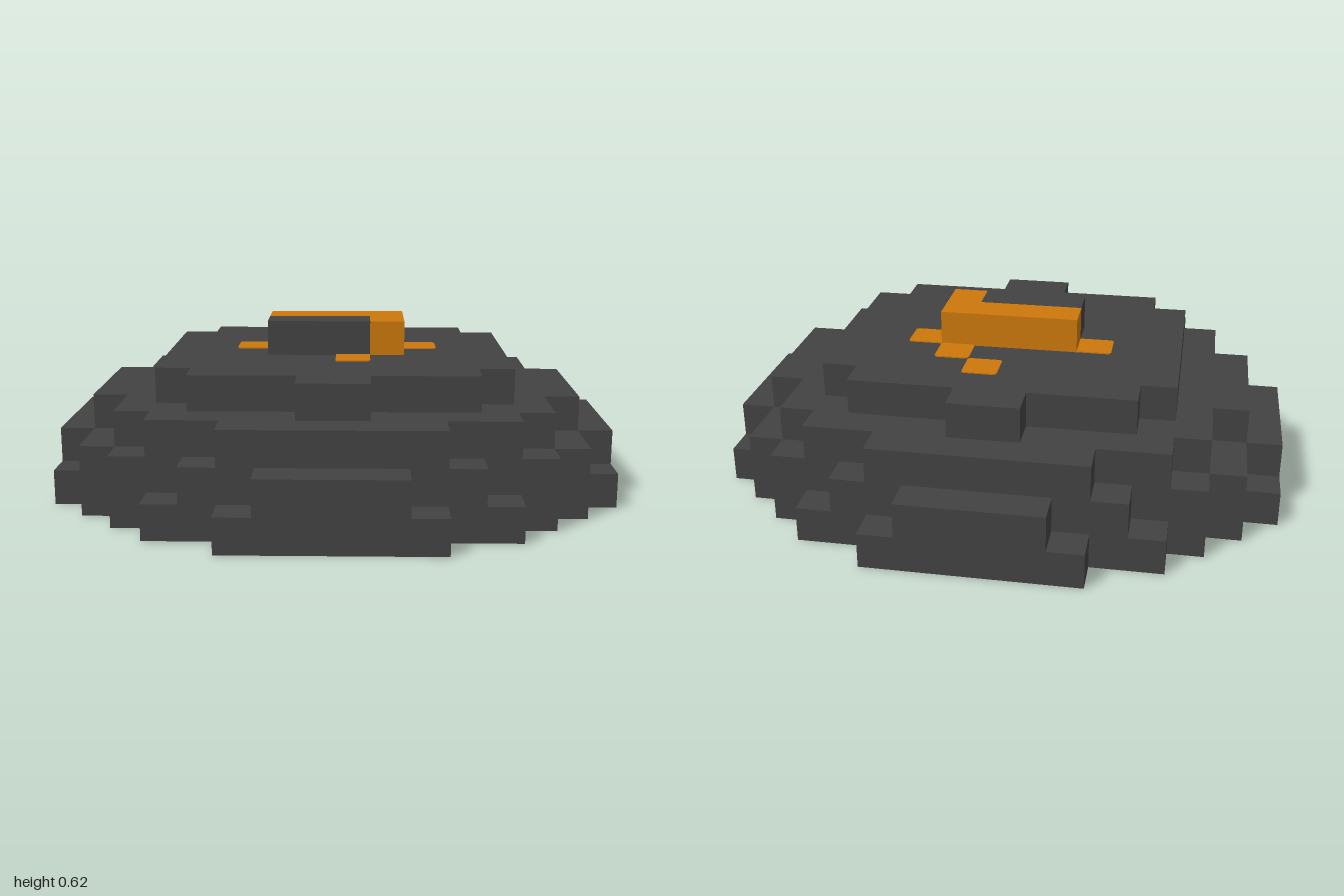
import * as THREE from 'three';

const U = 0.125; // edge of one cube

// Each tier lists [half width, half depth] steps, from the widest to the deepest.
const TIERS = [
  [[8, 3], [7, 4], [6, 5], [5, 6], [3, 7]],
  [[8, 2], [7, 4], [6, 5], [4, 6], [2, 7]],
  [[7, 2], [6, 4], [5, 5], [3, 6]],
  [[5, 3], [4, 4], [1, 5]],
];

// Stair-stepped outline mirrored into all four quadrants
function steppedShape(steps) {
  const quarter = [];
  steps.forEach(([x, z], i) => {
    if (i > 0) quarter.push([x, steps[i - 1][1]]);
    quarter.push([x, z]);
  });
  const back = [...quarter].reverse();
  const outline = [
    ...quarter,
    ...back.map(([x, z]) => [-x, z]),
    ...quarter.map(([x, z]) => [-x, -z]),
    ...back.map(([x, z]) => [x, -z]),
  ];
  return new THREE.Shape(outline.map(([x, z]) => new THREE.Vector2(x * U, z * U)));
}

// Rectangle with slightly rounded corners
function roundedShape(x0, x1, y0, y1, r) {
  const s = new THREE.Shape();
  s.absarc(x1 - r, y1 - r, r, 0, Math.PI / 2);
  s.absarc(x0 + r, y1 - r, r, Math.PI / 2, Math.PI);
  s.absarc(x0 + r, y0 + r, r, Math.PI, Math.PI * 1.5);
  s.absarc(x1 - r, y0 + r, r, Math.PI * 1.5, Math.PI * 2);
  s.closePath();
  return s;
}

export function createModel() {
  const model = new THREE.Group();
  const stone = new THREE.MeshStandardMaterial({ color: 0x424242 });
  stone.name = 'darkStone';
  const orange = new THREE.MeshStandardMaterial({ color: 0xcc780c });
  orange.name = 'orange';

  const add = (name, geometry, material) => {
    const mesh = new THREE.Mesh(geometry, material);
    mesh.name = name;
    model.add(mesh);
    return mesh;
  };

  // Upright slab from a flat outline
  const slab = (name, shape, height, y, material) => {
    const g = new THREE.ExtrudeGeometry(shape, { depth: height, bevelEnabled: false, curveSegments: 3 });
    g.rotateX(-Math.PI / 2);
    add(name, g, material).position.y = y;
  };

  // Block given by its x and z limits in cubes, standing on the mound
  const block = (name, x0, x1, z0, z1, material) => {
    const g = new THREE.BoxGeometry((x1 - x0) * U, U, (z1 - z0) * U);
    add(name, g, material).position.set((x0 + x1) / 2 * U, 4.5 * U, (z0 + z1) / 2 * U);
  };

  // Stepped mound
  TIERS.forEach((steps, i) => slab('moundTier' + (i + 1), steppedShape(steps), U, i * U, stone));

  // Raised top block
  block('crestDark', -2, 1, 0, 1, stone);
  block('crestOrangeBar', -2, 2, -1, 0, orange);
  block('crestOrangeEnd', 1, 2, 0, 1, orange);

  // Flat orange patches around the crest
  [
    [-3, 3, -1, 0],
    [0, 1, -3, -2],
    [1, 2, -2, -1],
    [0, 1, 1, 2],
  ].forEach(([x0, x1, z0, z1], i) => {
    slab('orangePatch' + (i + 1), roundedShape(x0 * U, x1 * U, -z1 * U, -z0 * U, 0.012), 0.004, 4 * U, orange);
  });

  return model;
}
